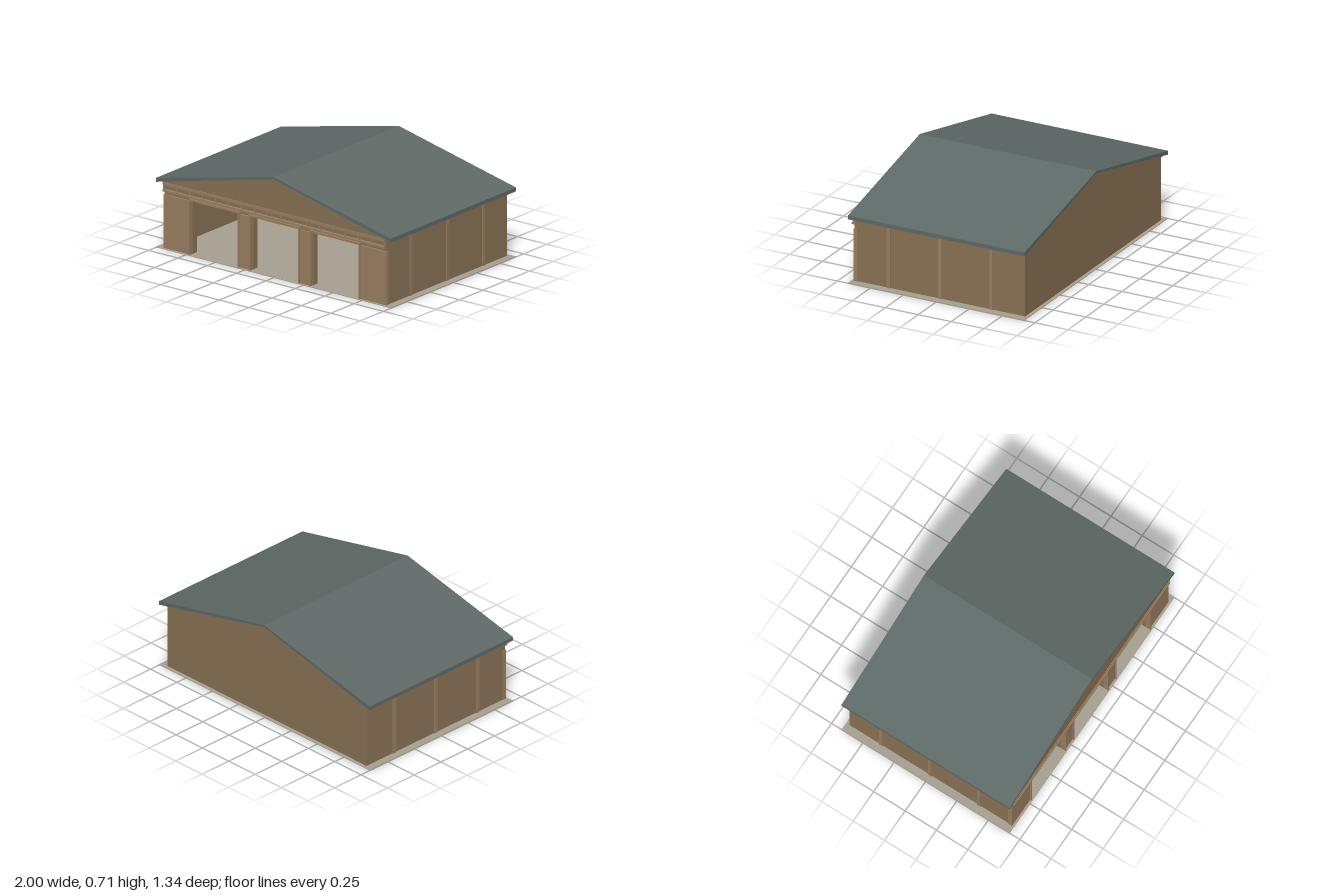
import * as THREE from 'three';

const mat = (color) => new THREE.MeshStandardMaterial({ color });
const wood = mat(0x8b7355), trim = mat(0x9c8062), slate = mat(0x5f6b68), concrete = mat(0xa8a293);

const DOORS = [-0.514, 0, 0.514]; // door centres
const HALF = 0.205;               // half width of a door opening
const DOOR_TOP = 0.385;
const BASE = 0.002;

export function createModel() {
  const root = new THREE.Group();

  const add = (name, geometry, material, parent = root) => {
    const mesh = new THREE.Mesh(geometry, material);
    mesh.name = name;
    parent.add(mesh);
    return mesh;
  };
  // Box given by its limits on each axis
  const box = (name, material, [x0, x1], [y0, y1], [z0, z1], parent) => {
    const mesh = add(name, new THREE.BoxGeometry(x1 - x0, y1 - y0, z1 - z0), material, parent);
    mesh.position.set((x0 + x1) / 2, (y0 + y1) / 2, (z0 + z1) / 2);
    return mesh;
  };
  // Outline in x and y, extruded between two z limits
  const prism = (name, material, points, z0, z1) => {
    const shape = new THREE.Shape(points.map(([x, y]) => new THREE.Vector2(x, y)));
    const geometry = new THREE.ExtrudeGeometry(shape, { depth: z1 - z0, bevelEnabled: false });
    return add(name, geometry.translate(0, 0, z0), material);
  };
  const group = (name) => {
    const g = new THREE.Group();
    g.name = name;
    root.add(g);
    return g;
  };

  box('floor', concrete, [-1, 1], [0, 0.004], [-0.67, 0.67]);

  // Back and side walls, with battens on the sides
  box('backWall', wood, [-0.945, 0.945], [BASE, 0.475], [-0.645, -0.615]);
  const sides = group('sideWalls');
  for (const s of [-1, 1]) {
    const span = (a, b) => (s > 0 ? [a, b] : [-b, -a]);
    box('sideWall', wood, span(0.915, 0.945), [BASE, 0.473], [-0.615, 0.645], sides);
    for (const z of [-0.39, 0, 0.39]) {
      box('batten', trim, span(0.94, 0.952), [BASE, 0.445], [z - 0.013, z + 0.013], sides);
    }
  }

  // Front wall: header over piers, open between them
  const front = group('frontWall');
  box('header', wood, [-0.945, 0.945], [DOOR_TOP, 0.475], [0.585, 0.65], front);
  const edges = [-0.95, ...DOORS.flatMap((x) => [x - HALF, x + HALF]), 0.95];
  for (let i = 0; i < edges.length; i += 2) {
    const a = edges[i], b = edges[i + 1];
    box('pierCore', wood, [Math.max(a, -0.915), Math.min(b, 0.915)], [BASE, DOOR_TOP], [0.585, 0.625], front);
    box('pier', trim, [a, b], [BASE, DOOR_TOP - 0.005], [0.625, 0.655], front);
  }

  // Casings around the door openings
  const casings = group('doorCasings');
  for (const x of DOORS) {
    for (const s of [-1, 1]) {
      const c = x + s * (HALF + 0.005);
      box('jambCasing', trim, [c - 0.005, c + 0.005], [BASE, DOOR_TOP], [0.645, 0.664], casings);
    }
    box('headCasing', trim, [x - HALF - 0.01, x + HALF + 0.01], [DOOR_TOP, 0.398], [0.645, 0.664], casings);
  }

  // Frieze: two rails and a row of recessed panels between stiles
  const frieze = group('frieze');
  box('lowerRail', trim, [-0.945, 0.945], [0.407, 0.421], [0.645, 0.672], frieze);
  box('upperRail', trim, [-0.945, 0.945], [0.455, 0.474], [0.645, 0.672], frieze);
  const COUNT = 17, pitch = 1.88 / COUNT;
  for (let i = 0; i <= COUNT; i++) {
    const x = -0.94 + i * pitch;
    box('stile', trim, [x - 0.005, x + 0.005], [0.421, 0.455], [0.645, 0.663], frieze);
  }

  // Gable block under the roof
  prism('gable', wood, [[-0.944, 0.475], [0.944, 0.475], [0, 0.695]], -0.668, 0.668);

  // Pitched roof, thicker at the eaves
  prism('roof', slate, [[-1, 0.462], [0, 0.695], [1, 0.462], [1, 0.49], [0, 0.71], [-1, 0.49]], -0.67, 0.67);

  return root;
}
